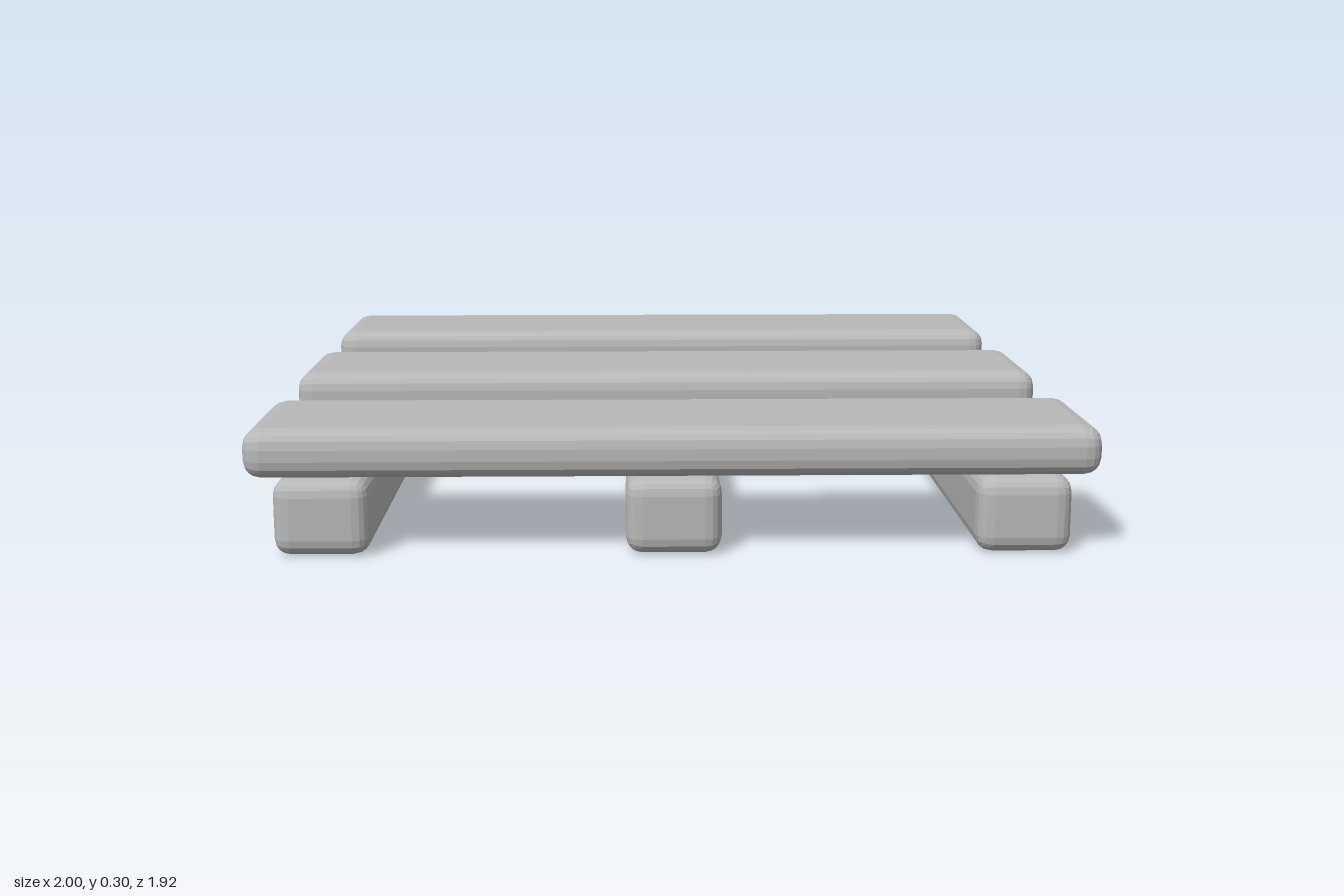
import * as THREE from 'three';
import { RoundedBoxGeometry } from 'three/addons/geometries/RoundedBoxGeometry.js';

export function createModel() {
  const model = new THREE.Group();
  model.name = 'pallet';

  const grey = new THREE.MeshStandardMaterial({ color: 0xb8b8b8, flatShading: true });
  grey.name = 'grey wood';

  const addBoard = (name, size, radius, position) => {
    const mesh = new THREE.Mesh(new RoundedBoxGeometry(...size, 2, radius), grey);
    mesh.name = name;
    mesh.position.set(...position);
    model.add(mesh);
  };

  // Three bearers running front to back
  ['right', 'middle', 'left'].forEach((side, i) => {
    addBoard(side + 'Bearer', [0.225, 0.182, 1.92], 0.04, [(i - 1) * 0.82, 0.091, 0]);
  });

  // Three wide planks laid across the bearers
  ['back', 'middle', 'front'].forEach((side, i) => {
    addBoard(side + 'Plank', [2, 0.118, 0.425], 0.045, [0, 0.241, (i - 1) * 0.7475]);
  });

  return model;
}
